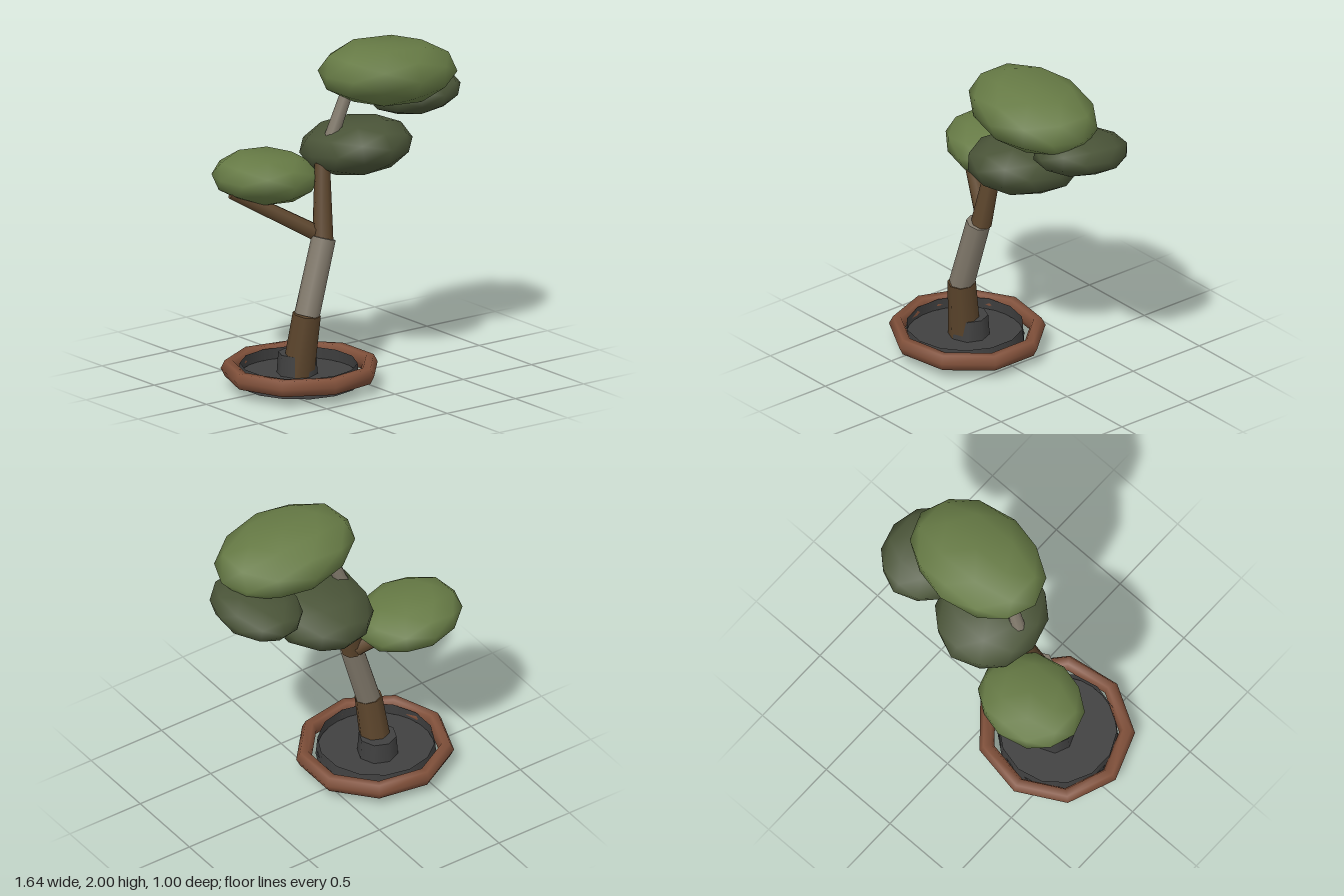
import * as THREE from 'three';

const mat = (name, color) => {
  const m = new THREE.MeshStandardMaterial({ color });
  m.name = name;
  return m;
};

export function createModel() {
  const leaf = mat('leafGreen', 0x667a45);
  const shadeLeaf = mat('darkLeafGreen', 0x4a5438);
  const bark = mat('barkBrown', 0x5c452c);
  const paleBark = mat('paleBark', 0x827a6c);
  const clay = mat('terracotta', 0x80503a);
  const soil = mat('soilGrey', 0x404040);
  soil.side = THREE.DoubleSide;

  const tree = new THREE.Group();
  tree.name = 'pottedTree';

  const add = (name, geometry, material, x = 0, y = 0, z = 0) => {
    const mesh = new THREE.Mesh(geometry, material);
    mesh.name = name;
    mesh.position.set(x, y, z);
    tree.add(mesh);
    return mesh;
  };

  // Tapered limb running between two points
  const limb = (name, from, to, r0, r1, material) => {
    const a = new THREE.Vector3(...from);
    const b = new THREE.Vector3(...to);
    const dir = b.clone().sub(a);
    const mesh = add(name, new THREE.CylinderGeometry(r1, r0, dir.length(), 8), material);
    mesh.position.copy(a).add(b).multiplyScalar(0.5);
    mesh.quaternion.setFromUnitVectors(new THREE.Vector3(0, 1, 0), dir.normalize());
  };

  // Low-poly clump of leaves with its top and bottom pressed flat
  const clump = (name, pos, half, tiltX, tiltZ, material) => {
    const g = new THREE.IcosahedronGeometry(1, 1);
    const p = g.attributes.position;
    for (let i = 0; i < p.count; i++) {
      p.setY(i, THREE.MathUtils.clamp(p.getY(i) / 0.809, -1, 1));
    }
    add(name, g.scale(...half), material, ...pos).rotation.set(tiltX, 0, tiltZ);
  };

  // Clay rim: nine-sided ring with a corner on the right-hand side
  const rim = new THREE.TorusGeometry(0.427, 0.047, 6, 9);
  rim.rotateX(Math.PI / 2).rotateY(Math.PI).scale(1, 1.15, 0.96);
  add('potRim', rim, clay, -0.347, 0.118, 0.05);

  // Tray wall, soil surface and the mound at the foot of the trunk
  add('trayWall', new THREE.CylinderGeometry(0.343, 0.354, 0.12, 14, 1, true), soil, -0.365, 0.098, 0.055);
  add('soilSurface', new THREE.CircleGeometry(0.349, 14).rotateX(-Math.PI / 2), soil, -0.365, 0.09, 0.055);
  add('soilMound', new THREE.CylinderGeometry(0.112, 0.125, 0.185, 8), soil, -0.357, 0.122, 0.03);

  // Trunk and branches
  limb('lowerTrunk', [-0.375, 0.02, 0.045], [-0.34, 0.46, 0.1], 0.098, 0.083, bark);
  limb('middleTrunk', [-0.34, 0.45, 0.1], [-0.205, 0.895, 0.085], 0.075, 0.072, paleBark);
  limb('upperTrunk', [-0.2, 0.88, 0.07], [-0.15, 1.32, 0], 0.062, 0.045, bark);
  limb('topBranch', [-0.15, 1.32, 0], [0.03, 1.8, 0.04], 0.045, 0.035, paleBark);
  limb('sideBranch', [-0.21, 0.91, 0.04], [-0.66, 1.185, -0.2], 0.05, 0.042, bark);

  // Leaf clumps
  clump('topLeaves', [0.275, 1.82, 0.07], [0.45, 0.164, 0.325], 0, -0.08, leaf);
  clump('rightLeaves', [0.56, 1.622, -0.05], [0.265, 0.105, 0.3], -0.12, 0.11, shadeLeaf);
  clump('middleLeaves', [0.1, 1.385, -0.005], [0.325, 0.142, 0.355], -0.13, 0.06, shadeLeaf);
  clump('sideLeaves', [-0.4, 1.235, -0.215], [0.335, 0.13, 0.285], 0.03, -0.08, leaf);

  return tree;
}
